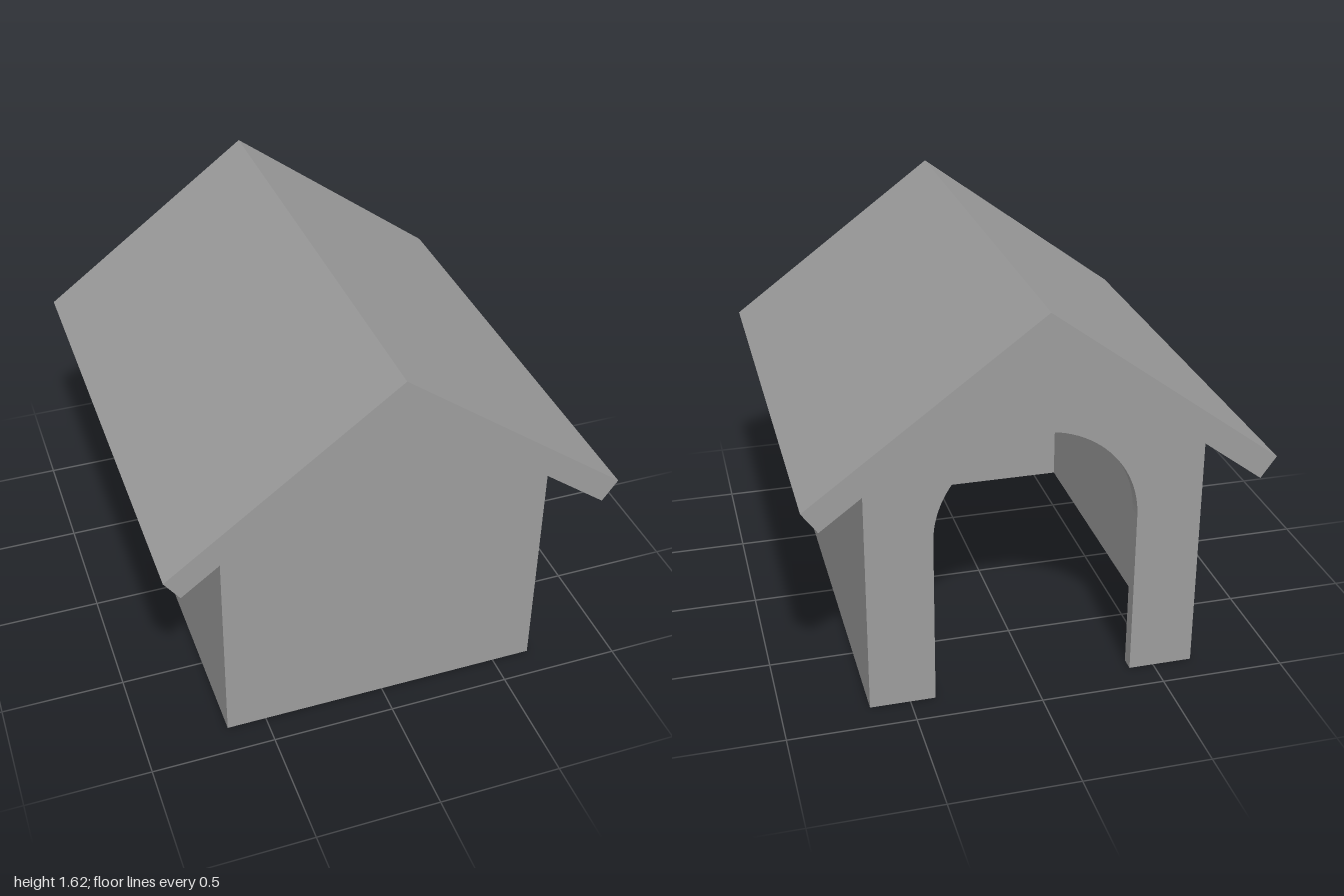
import * as THREE from 'three';

const HALF_W = 0.66, HALF_D = 0.88, WALL = 0.055;
const EAVE = 1.0, RIDGE = 1.49;
const DOOR_R = 0.4, DOOR_SPRING = 0.7;

const shapeOf = (pts) => new THREE.Shape(pts.map(([x, y]) => new THREE.Vector2(x, y)));

export function createModel() {
  const house = new THREE.Group();
  house.name = 'kennel';
  const grey = new THREE.MeshStandardMaterial({ color: 0x9c9c9c });
  grey.name = 'plain grey';

  // Extrudes a front-facing profile from z0 to z1
  const addPart = (name, shape, z0, z1) => {
    const geo = new THREE.ExtrudeGeometry(shape, { depth: z1 - z0, bevelEnabled: false, curveSegments: 24 });
    geo.translate(0, 0, z0);
    const mesh = new THREE.Mesh(geo, grey);
    mesh.name = name;
    house.add(mesh);
  };

  // Solid gable wall
  addPart('frontWall', shapeOf([
    [-HALF_W, 0], [HALF_W, 0], [HALF_W, EAVE], [0, RIDGE], [-HALF_W, EAVE],
  ]), HALF_D - WALL, HALF_D);

  // Gable wall with an arched doorway open to the ground
  const back = new THREE.Shape();
  back.moveTo(-HALF_W, 0);
  back.lineTo(-DOOR_R, 0);
  back.lineTo(-DOOR_R, DOOR_SPRING);
  back.absarc(0, DOOR_SPRING, DOOR_R, Math.PI, 0, true);
  back.lineTo(DOOR_R, 0);
  back.lineTo(HALF_W, 0);
  back.lineTo(HALF_W, EAVE);
  back.lineTo(0, RIDGE);
  back.lineTo(-HALF_W, EAVE);
  back.closePath();
  addPart('doorwayWall', back, -HALF_D, -HALF_D + WALL);

  // Side walls, their tops cut to the roof slope
  const inner = HALF_W - WALL;
  const innerTop = RIDGE - (RIDGE - EAVE) * inner / HALF_W;
  for (const [name, s] of [['leftWall', 1], ['rightWall', -1]]) {
    addPart(name, shapeOf([
      [s * inner, 0], [s * HALF_W, 0], [s * HALF_W, EAVE], [s * inner, innerTop],
    ]), -HALF_D + WALL, HALF_D - WALL);
  }

  // Overhanging pitched roof
  addPart('roof', shapeOf([
    [0, 1.615], [-0.9, 0.95], [-0.84, 0.866], [0, RIDGE], [0.84, 0.866], [0.9, 0.95],
  ]), -1, 1);

  return house;
}
